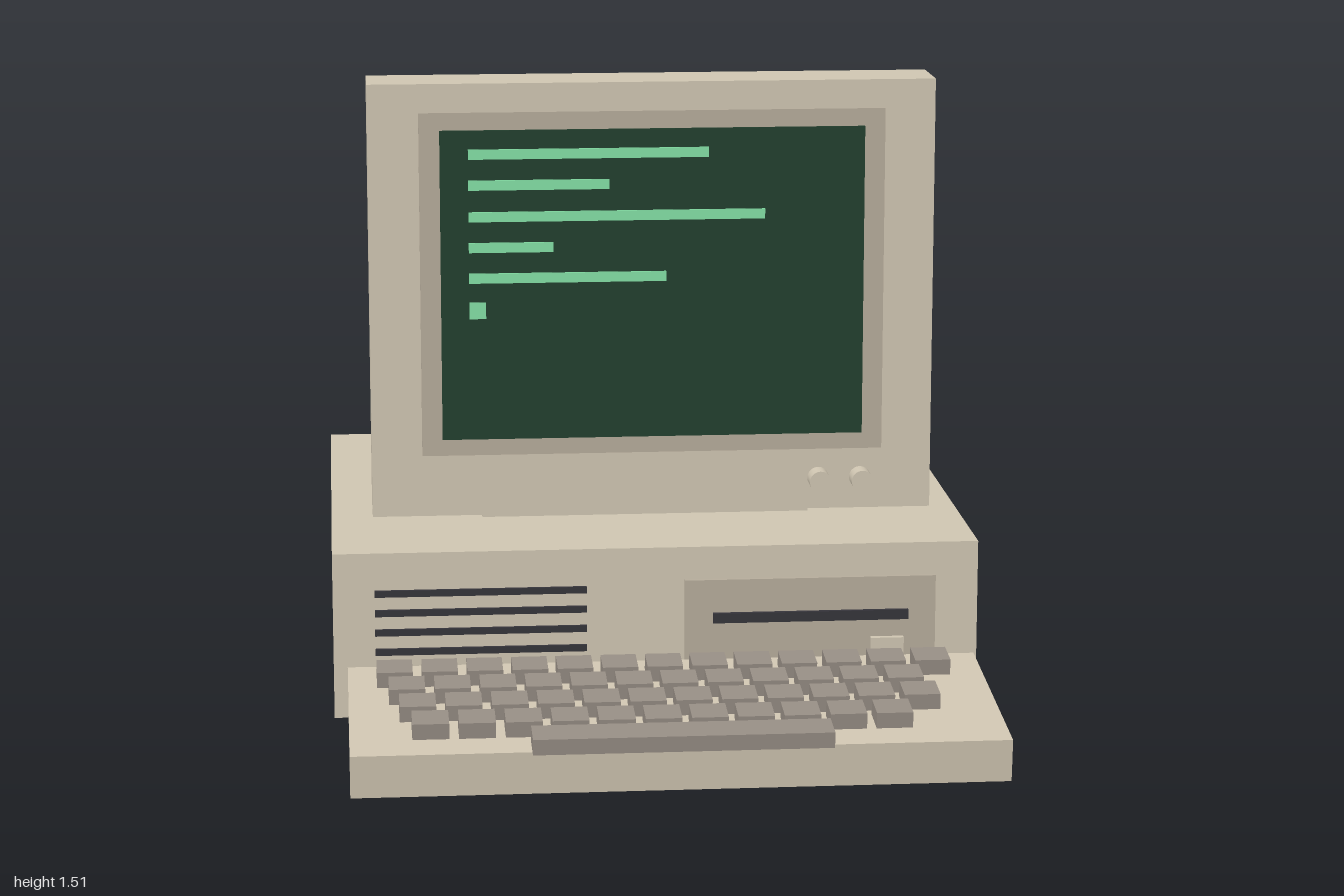
import * as THREE from 'three';

const mat = (color) => new THREE.MeshStandardMaterial({ color });
const shell = mat(0xcfc5b1);
const trim = mat(0xb5ab9b);
const keyGrey = mat(0x968d84);
const dark = mat(0x35343a);
const glass = mat(0x22402e);
const phosphor = mat(0x84e0a5);
const amber = mat(0xd9853b);

// Box given by its lower and upper limits on each axis
function slab(parent, name, material, [x0, x1], [y0, y1], [z0, z1]) {
  const mesh = new THREE.Mesh(new THREE.BoxGeometry(x1 - x0, y1 - y0, z1 - z0), material);
  mesh.position.set((x0 + x1) / 2, (y0 + y1) / 2, (z0 + z1) / 2);
  mesh.name = name;
  parent.add(mesh);
  return mesh;
}

function group(parent, name) {
  const g = new THREE.Group();
  g.name = name;
  parent.add(g);
  return g;
}

function buildCase(root) {
  const g = group(root, 'systemUnit');
  slab(g, 'case', shell, [-0.777, 0.777], [0, 0.405], [-1, 0.286]);
  // Ventilation slots
  for (let i = 0; i < 4; i++) {
    const y = 0.306 - i * 0.048;
    slab(g, 'ventSlot', dark, [-0.677, -0.17], [y - 0.008, y + 0.008], [0.28, 0.294]);
  }
  // Disk drive
  slab(g, 'drivePlate', trim, [0.066, 0.673], [0.105, 0.325], [0.28, 0.298]);
  slab(g, 'driveSlot', dark, [0.133, 0.606], [0.22, 0.244], [0.29, 0.309]);
  slab(g, 'ejectButton', shell, [0.515, 0.595], [0.138, 0.176], [0.29, 0.313]);
  slab(g, 'powerLight', amber, [-0.695, -0.655], [0.08, 0.1], [0.28, 0.303]);
}

function buildMonitor(root) {
  const g = group(root, 'monitor');
  slab(g, 'pedestal', shell, [-0.405, 0.405], [0.405, 0.462], [-0.73, -0.05]);
  slab(g, 'bezel', shell, [-0.677, 0.677], [0.462, 1.51], [-0.015, 0.155]);

  // Rear housing: a box narrowed towards the back
  const geo = new THREE.BoxGeometry(2, 1, 1);
  const p = geo.attributes.position;
  for (let i = 0; i < p.count; i++) {
    const back = p.getZ(i) < 0;
    const top = p.getY(i) > 0;
    const y = back ? (top ? 1.206 : 0.597) : (top ? 1.492 : 0.513);
    p.setXYZ(i, p.getX(i) * (back ? 0.373 : 0.645), y, back ? -0.863 : -0.015);
  }
  const housing = new THREE.Mesh(geo.toNonIndexed(), shell);
  housing.geometry.computeVertexNormals();
  housing.name = 'rearHousing';
  g.add(housing);

  slab(g, 'screenSurround', trim, [-0.556, 0.556], [0.612, 1.442], [0.15, 0.163]);
  slab(g, 'screen', glass, [-0.507, 0.507], [0.652, 1.4], [0.155, 0.168]);

  // Lit rows and cursor: right end, centre height, thickness
  const rows = [
    [0.133, 1.343, 0.024], [-0.104, 1.269, 0.024], [0.268, 1.193, 0.024],
    [-0.239, 1.119, 0.024], [0.031, 1.045, 0.024], [-0.4, 0.967, 0.04],
  ];
  for (const [end, y, h] of rows) {
    slab(g, 'screenRow', phosphor, [-0.44, end], [y - h / 2, y + h / 2], [0.165, 0.172]);
  }

  // Control knobs
  for (const x of [0.403, 0.505]) {
    const knob = new THREE.Mesh(new THREE.CylinderGeometry(0.026, 0.026, 0.055, 20), shell);
    knob.rotation.x = Math.PI / 2;
    knob.position.set(x, 0.539, 0.178);
    knob.name = 'knob';
    g.add(knob);
  }
}

function buildKeyboard(root) {
  const g = group(root, 'keyboard');
  g.position.set(0, 0.095, 0.7);
  g.rotation.x = 0.09;
  slab(g, 'keyboardBase', shell, [-0.744, 0.744], [-0.05, 0.05], [-0.27, 0.27]);

  // Key rows: left edge and number of keys
  const rows = [[-0.677, 13], [-0.651, 12], [-0.629, 12], [-0.603, 11]];
  const size = 0.083, pitch = 0.105, height = [0.05, 0.087];
  rows.forEach(([left, count], r) => {
    const z = -0.177 + r * 0.106;
    for (let i = 0; i < count; i++) {
      const x = left + i * pitch;
      slab(g, 'key', keyGrey, [x, x + size], height, [z - size / 2, z + size / 2]);
    }
  });
  slab(g, 'spaceBar', keyGrey, [-0.338, 0.338], height, [0.205, 0.289]);
}

export function createModel() {
  const root = new THREE.Group();
  root.name = 'desktopComputer';
  buildCase(root);
  buildMonitor(root);
  buildKeyboard(root);
  return root;
}
